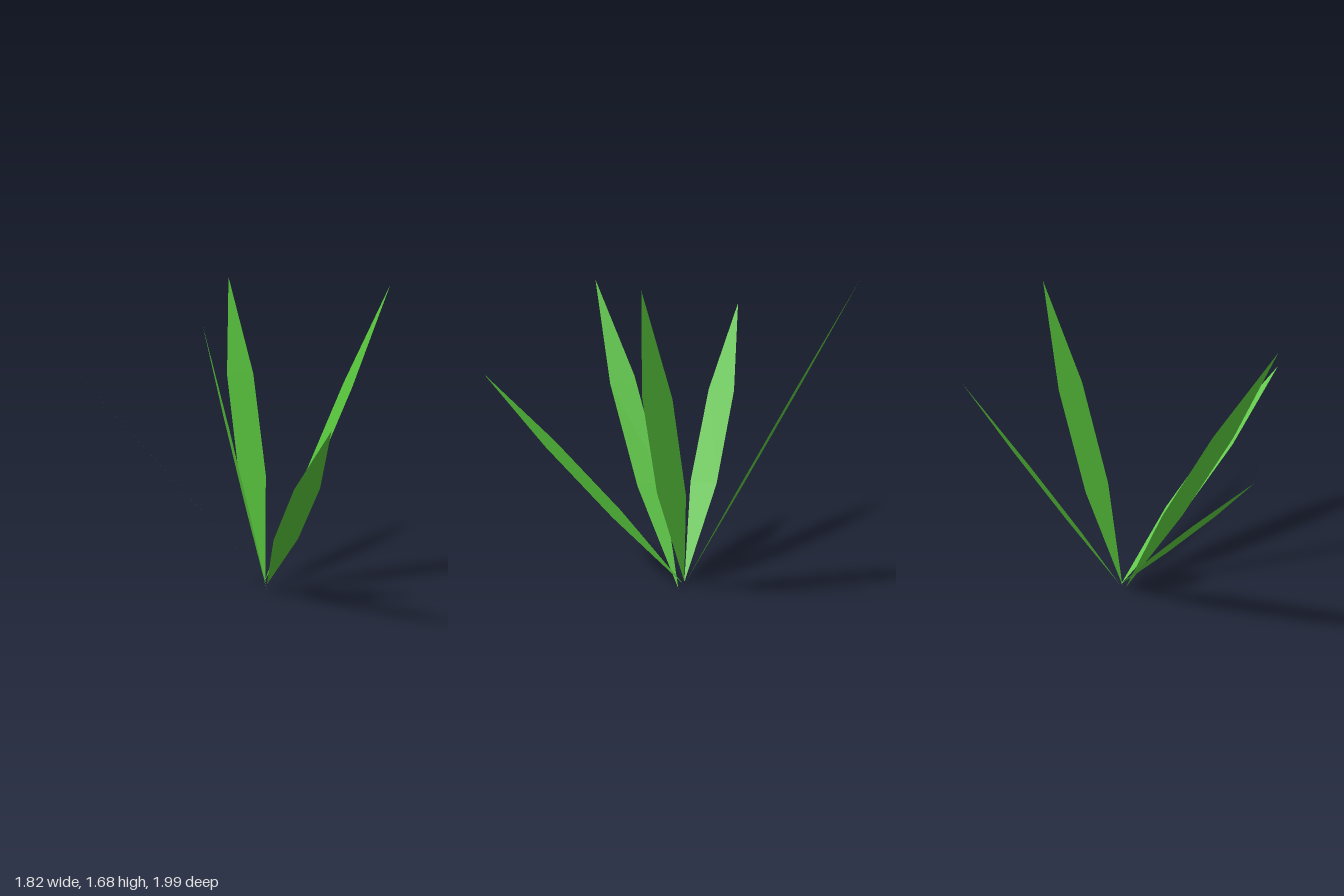
import * as THREE from 'three';

// Flat six-cornered leaf: straight from base to tip, full width between one and two thirds.
function leafGeometry(base, tip, half) {
  const b = new THREE.Vector3(...base);
  const t = new THREE.Vector3(...tip);
  const h = new THREE.Vector3(...half);
  const edge = (f, side) => b.clone().lerp(t, f).addScaledVector(h, side);
  const corners = [b, edge(1 / 3, 1), edge(2 / 3, 1), t, edge(2 / 3, -1), edge(1 / 3, -1)];
  const geometry = new THREE.BufferGeometry().setFromPoints(corners);
  geometry.setIndex([0, 1, 5, 1, 2, 4, 1, 4, 5, 2, 3, 4]);
  geometry.computeVertexNormals();
  return geometry;
}

export function createModel() {
  const group = new THREE.Group();
  group.name = 'grassTuft';
  const material = new THREE.MeshStandardMaterial({ color: 0x55c03a, side: THREE.DoubleSide });

  // Each blade: name, base, tip, half-width vector (ordered so the upper face is the front)
  const blades = [
    ['backBlade', [0.21, 0.04, -0.13], [0.21, 1.675, -1.0], [0.079, 0, 0]],
    ['frontBlade', [0.217, 0.03, -0.12], [0.217, 1.1, 0.99], [-0.067, 0, 0]],
    ['leftBlade', [0.2, 0.04, -0.12], [0.905, 1.68, -0.12], [0, 0, 0.076]],
    ['rightBlade', [0.21, 0.04, -0.123], [-0.91, 1.37, -0.123], [0, 0, -0.074]],
    ['diagonalBlade', [0.21, 0, -0.09], [-0.288, 1.56, 0.535], [0, 0.027, -0.07]],
  ];
  for (const [name, base, tip, half] of blades) {
    const blade = new THREE.Mesh(leafGeometry(base, tip, half), material);
    blade.name = name;
    group.add(blade);
  }
  return group;
}
